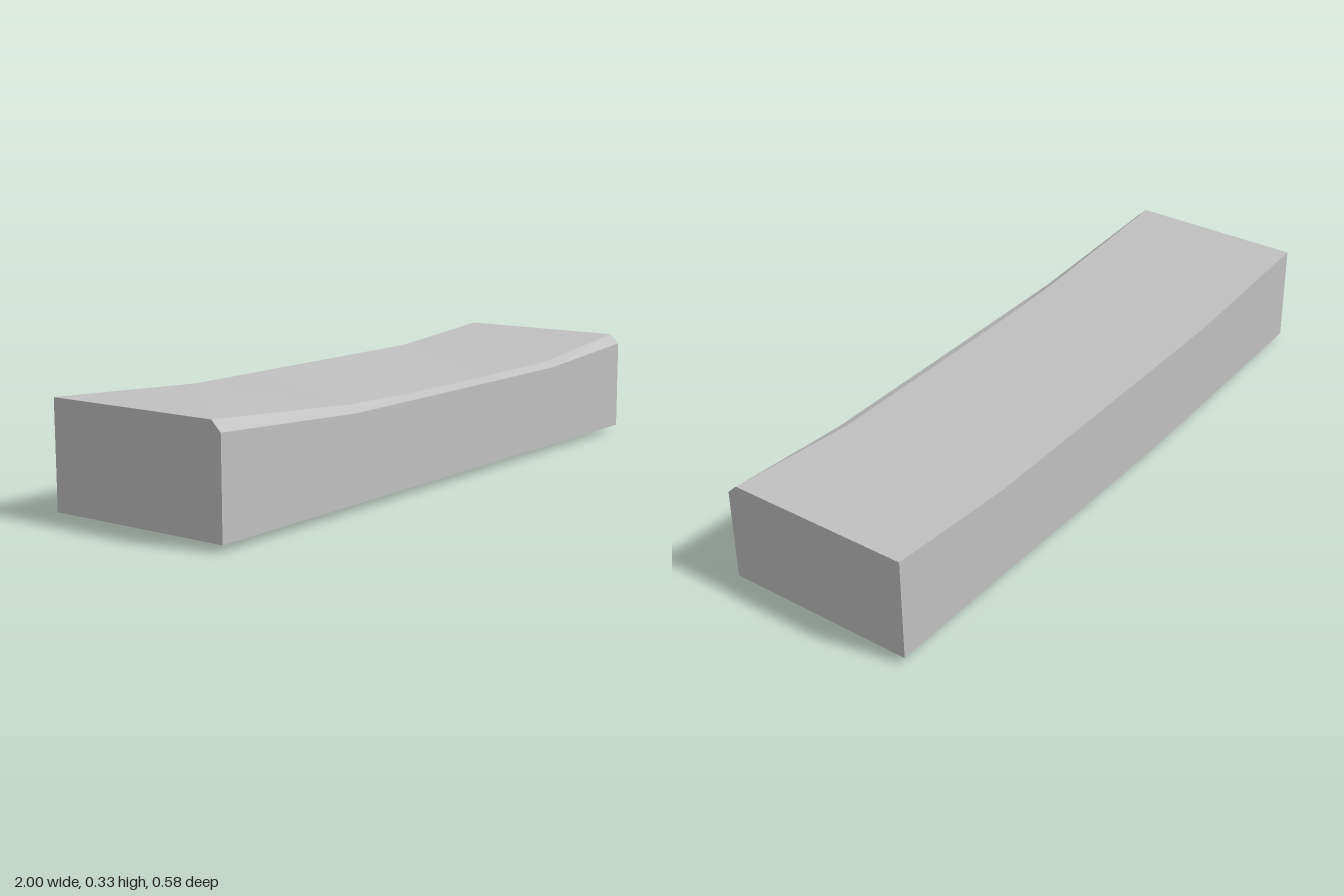
import * as THREE from 'three';

const grey = new THREE.MeshStandardMaterial({ color: 0xc0c0c0, side: THREE.DoubleSide, flatShading: true });
grey.name = 'plain grey';

const HALF_DEPTH = 0.289;
const CHAMFER_Z = 0.259;
const BASE_Y = 0.02;

// Stations along x: [x, chamfer bottom, chamfer top, back top, back base]
const stations = [
  [-1, 0.298, 0.327, 0.327, 0.02],
  [-0.46, 0.268, 0.288, 0.294, 0.006],
  [-0.2, 0.268, 0.281, 0.294, 0],
  [0.2, 0.268, 0.281, 0.294, 0.005],
  [0.57, 0.269, 0.283, 0.294, 0.014],
  [1, 0.298, 0.327, 0.327, 0.02],
];

// Cross-section from the front base, over the top, to the back base
const sections = stations.map(([x, low, high, backTop, backBase]) => [
  [x, BASE_Y, HALF_DEPTH],
  [x, low, HALF_DEPTH],
  [x, high, CHAMFER_Z],
  [x, backTop, -HALF_DEPTH],
  [x, backBase, -HALF_DEPTH],
]);

function makeMesh(name, triangles) {
  const geometry = new THREE.BufferGeometry();
  geometry.setAttribute('position', new THREE.Float32BufferAttribute(triangles.flat(), 3));
  geometry.computeVertexNormals();
  const mesh = new THREE.Mesh(geometry, grey);
  mesh.name = name;
  return mesh;
}

// Long strip joining section points k and k + 1 at every station
function strip(name, k) {
  const triangles = [];
  for (let i = 0; i < sections.length - 1; i++) {
    const a = sections[i][k];
    const b = sections[i + 1][k];
    const c = sections[i + 1][k + 1];
    const d = sections[i][k + 1];
    triangles.push(a, b, c, a, c, d);
  }
  return makeMesh(name, triangles);
}

// Flat end wall, fanned from the front base corner
function endWall(name, section, flip) {
  const triangles = [];
  for (let k = 1; k < section.length - 1; k++) {
    const pair = [section[k], section[k + 1]];
    if (flip) pair.reverse();
    triangles.push(section[0], ...pair);
  }
  return makeMesh(name, triangles);
}

export function createModel() {
  const model = new THREE.Group();
  model.name = 'curvedBlockShell';

  // Long faces; the underside stays open
  ['frontWall', 'frontChamfer', 'topSurface', 'backWall'].forEach((name, k) => model.add(strip(name, k)));

  // Ends
  model.add(endWall('rightEndWall', sections[0], false));
  model.add(endWall('leftEndWall', sections[sections.length - 1], true));
  // Section order runs front-up-back, so the +x end is reversed to face outward
  return model;
}
